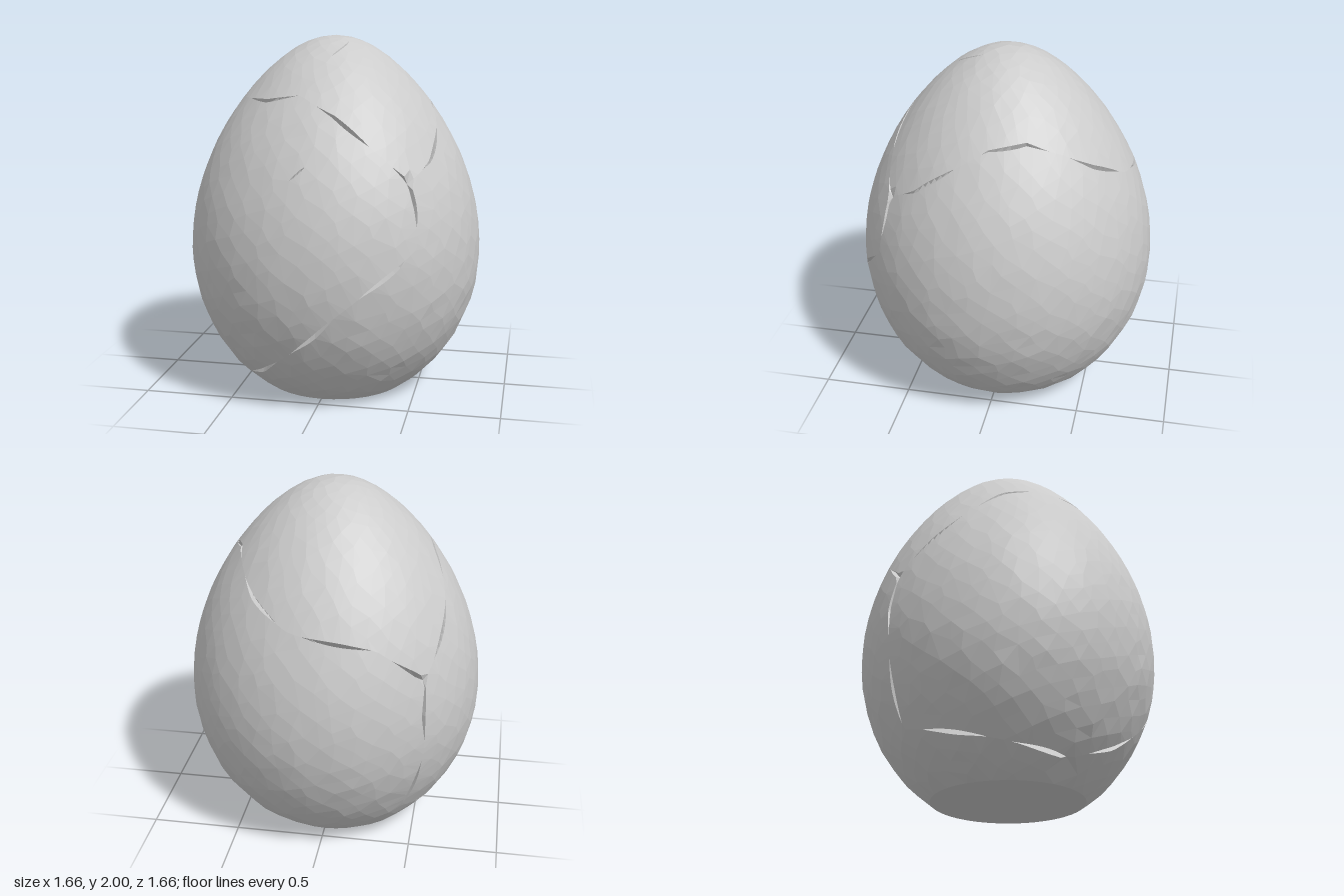
import * as THREE from 'three';
import { ConvexGeometry } from 'three/addons/geometries/ConvexGeometry.js';

// Egg outline: radius at a height, widest at y = 0.8 and cut flat at y = 0
const WAIST = 0.8;
function radiusAt(y) {
  const t = y > WAIST ? (y - WAIST) / 1.2 : (WAIST - y) / 0.93;
  const r = 0.83 * Math.sqrt(Math.max(0, 1 - t * t));
  return y > WAIST ? r * (1 - 0.21 * t * t) : r;
}

function onEgg(angle, y) {
  const r = radiusAt(y);
  return new THREE.Vector3(r * Math.sin(angle), y, r * Math.cos(angle));
}
const project = (p) => onEgg(Math.atan2(p.x, p.z), THREE.MathUtils.clamp(p.y, 0, 2));

function seeded(seed) {
  return () => {
    seed = (seed * 16807) % 2147483647;
    return seed / 2147483647;
  };
}

// Crack lines as [degrees around from the front, height]
const FRONT_FORK = [42, 1.28], BACK_FORK = [-135, 1.1], LOW_CORNER = [-54, 0.1];
const CRACKS = [
  // front fork down and across the front
  [FRONT_FORK, [43, 1.15], [42, 0.95], [33, 0.85], [21, 0.73], [10, 0.6], [2, 0.48], [-12, 0.33], [-28, 0.2], LOW_CORNER],
  // front fork over the front shoulder to the back fork
  [FRONT_FORK, [35, 1.37], [26, 1.47], [10, 1.61], [-12, 1.71], [-35, 1.67], [-57, 1.67], [-73, 1.66], [-90, 1.62], [-104, 1.49], [-115, 1.36], BACK_FORK],
  // front fork round the side and back to the back fork
  [FRONT_FORK, [57, 1.37], [74, 1.52], [90, 1.62], [112, 1.65], [131, 1.58], [146, 1.49], [167, 1.38], [-155, 1.3], BACK_FORK],
  // back fork down and round to the low corner
  [BACK_FORK, [-137, 0.9], [-136, 0.7], [-139, 0.27], [-112, 0.2], [-88, 0.15], LOW_CORNER],
  // short nicks
  [[-8, 1.3], [-2, 1.37]],
  [[6, 1.9], [40, 1.97]],
];

function createShell() {
  const random = seeded(71);
  const key = (p) => `${p.x.toFixed(5)},${p.y.toFixed(5)},${p.z.toFixed(5)}`;
  const points = [];
  const sink = new Map(); // how far each point is later pushed inwards
  const add = (p, depth) => {
    if (points.some((q) => q.distanceTo(p) < 0.002)) return;
    points.push(p);
    sink.set(key(p), depth);
  };

  // Crack floor and its two lips, opening and closing along the line
  CRACKS.forEach((line, c) => {
    const corners = line.map(([deg, y]) => onEgg(THREE.MathUtils.degToRad(deg), y));
    const curve = new THREE.CatmullRomCurve3(corners, false, 'catmullrom', 0);
    const count = Math.max(4, Math.round(curve.getLength() / 0.04));
    const path = curve.getSpacedPoints(count).map(project);
    path.forEach((p, i) => {
      const end = i === 0 || i === count;
      const wave = 0.005 + 0.007 * Math.sin(i * 0.5 + c * 1.7 + 0.6);
      const width = end ? 0 : line.length === 2 ? 0.005 : wave;
      if (width < 0.002) {
        add(p, end && c < 4 ? 0.02 : 0);
        return;
      }
      add(p, width * 3.5);
      const along = path[i + 1].clone().sub(path[i - 1]);
      const outward = new THREE.Vector3(p.x, (p.y - WAIST) * 0.6, p.z);
      const across = along.cross(outward).normalize();
      for (const side of [-1, 1]) add(project(p.clone().addScaledVector(across, side * width)), 0);
    });
  });

  // Scattered facet corners, kept clear of the cracks
  const crackPoints = points.slice();
  const total = 1150;
  for (let i = 0; i < total; i++) {
    const y = 0.02 + (1.975 * (i + random())) / total;
    const p = onEgg(i * 2.39996 + random() * 0.08, y);
    if (crackPoints.every((q) => q.distanceTo(p) > 0.042)) {
      add(p, (random() - 0.5) * (y < 0.7 ? 0.007 : 0.002));
    }
  }

  // Tip and flat base rim
  add(new THREE.Vector3(0, 2, 0), 0);
  for (let i = 0; i < 40; i++) add(onEgg((i / 40) * Math.PI * 2, 0), 0);

  // Wrap the points in facets, then press in the crack floors
  const geometry = new ConvexGeometry(points);
  const position = geometry.attributes.position;
  const p = new THREE.Vector3(), inward = new THREE.Vector3();
  for (let i = 0; i < position.count; i++) {
    p.fromBufferAttribute(position, i);
    const depth = sink.get(key(p)) ?? 0;
    if (depth === 0) continue;
    inward.set(0, WAIST, 0).sub(p).normalize();
    p.addScaledVector(inward, depth);
    position.setXYZ(i, p.x, Math.max(0, p.y), p.z);
  }
  geometry.computeVertexNormals();
  return geometry;
}

export function createModel() {
  const model = new THREE.Group();
  model.name = 'crackedEgg';
  const material = new THREE.MeshStandardMaterial({ color: 0xcccccc, flatShading: true });
  const shell = new THREE.Mesh(createShell(), material);
  shell.name = 'eggShell';
  model.add(shell);
  return model;
}
